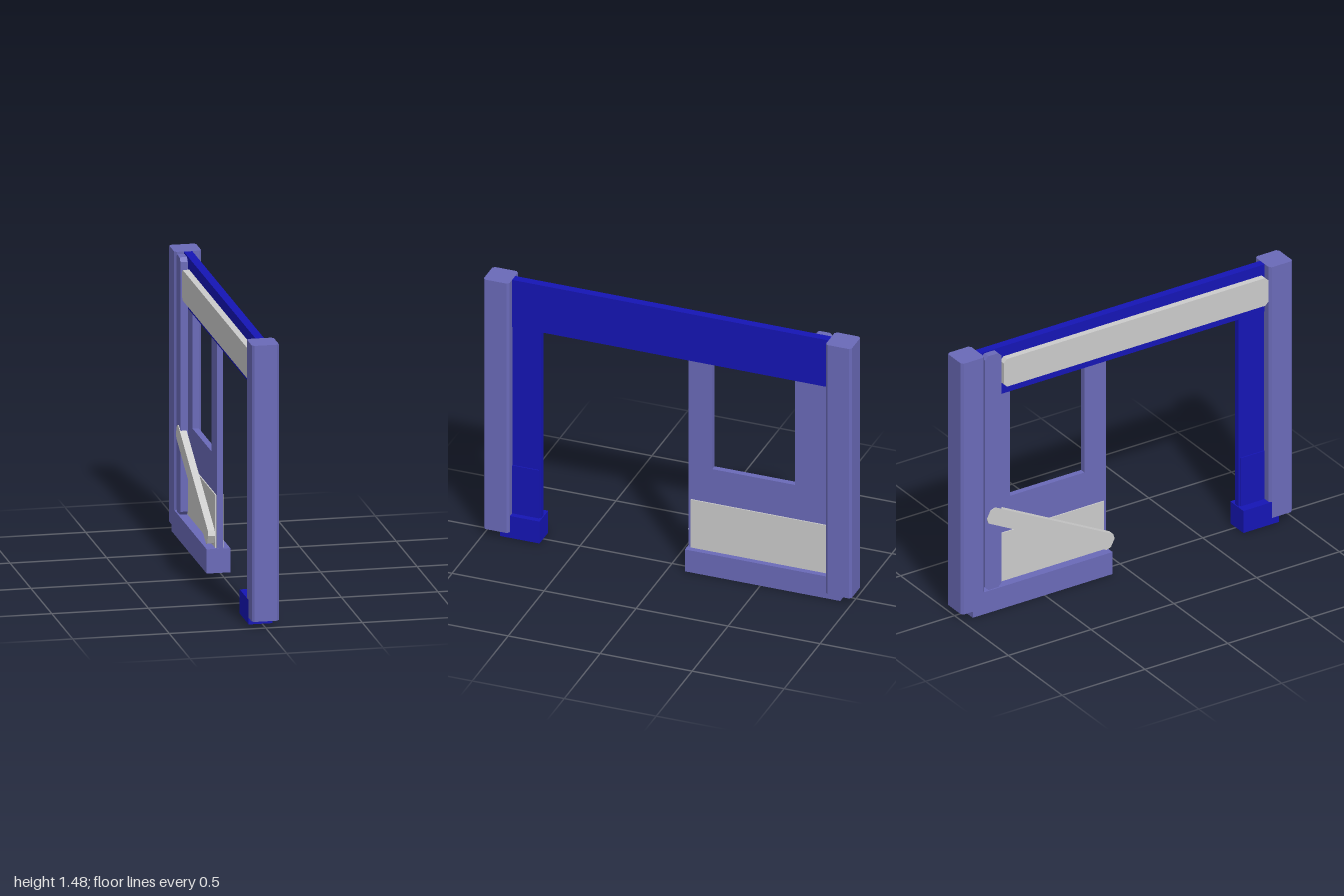
import * as THREE from 'three';

const BLUE = 0x1515b5, MIXED = 0x6a6ab8, GREY = 0xcccccc;

function material(color) {
  return new THREE.MeshStandardMaterial({ color, flatShading: true });
}

// Shape drawn in (-z, y), given thickness from x0 to x1
function slab(name, shape, x0, x1, color) {
  const geo = new THREE.ExtrudeGeometry(shape, { depth: x1 - x0, bevelEnabled: false });
  geo.translate(0, 0, x0);
  geo.rotateY(Math.PI / 2);
  const mesh = new THREE.Mesh(geo, material(color));
  mesh.name = name;
  return mesh;
}

// Polygon from [z, y] points
function outline(points) {
  return new THREE.Shape(points.map(([z, y]) => new THREE.Vector2(-z, y)));
}

// Box between two corners
function block(name, [x0, x1], [y0, y1], [z0, z1], color) {
  const mesh = new THREE.Mesh(new THREE.BoxGeometry(x1 - x0, y1 - y0, z1 - z0), material(color));
  mesh.position.set((x0 + x1) / 2, (y0 + y1) / 2, (z0 + z1) / 2);
  mesh.name = name;
  return mesh;
}

// Square post with chamfered vertical edges
function post(name, z, color) {
  const h = 0.07, c = 0.012, k = h - c;
  const shape = new THREE.Shape([[h, -k], [h, k], [k, h], [-k, h], [-h, k], [-h, -k], [-k, -h], [k, -h]]
    .map(([x, y]) => new THREE.Vector2(x, y)));
  const geo = new THREE.ExtrudeGeometry(shape, { depth: 1.448, bevelEnabled: false });
  geo.rotateX(-Math.PI / 2);
  geo.translate(0, 0.035, z);
  const mesh = new THREE.Mesh(geo, material(color));
  mesh.name = name;
  return mesh;
}

// Loose board with clipped corners, centred on its own origin
function board(name, length, width, [x0, x1], y, z, angle, color) {
  const l = length / 2, w = width / 2, c = 0.02;
  const shape = outline([[-l, -w + c], [-l, w - c], [-l + c, w], [l - c, w],
    [l, w - c], [l, -w + c], [l - c, -w], [-l + c, -w]]);
  const mesh = slab(name, shape, x0, x1, color);
  mesh.position.set(0, y, z);
  mesh.rotation.x = angle;
  return mesh;
}

export function createModel() {
  const group = new THREE.Group();
  group.name = 'doorAndWindowWall';

  // Corner posts and top beam
  group.add(post('frontPost', 0.93, MIXED), post('backPost', -0.93, MIXED));
  group.add(block('topBeam', [-0.022, 0.022], [1.21, 1.482], [-0.87, 0.87], BLUE));

  // Foundation sills either side of the doorway
  group.add(block('frontSill', [-0.07, 0.052], [0, 0.127], [0.7, 0.915], BLUE));
  group.add(block('backSill', [-0.07, 0.052], [0, 0.127], [-0.935, -0.09], MIXED));

  // Wall beside the door, and the wall with the window opening
  group.add(block('frontWall', [-0.016, 0.016], [0.12, 1.22], [0.705, 0.87], BLUE));
  const wall = outline([[-0.095, 0.12], [-0.095, 1.22], [-0.87, 1.22], [-0.87, 0.12]]);
  wall.holes.push(outline([[-0.225, 0.602], [-0.675, 0.602], [-0.675, 1.212], [-0.225, 1.212]]));
  group.add(slab('windowWall', wall, -0.016, 0.016, MIXED));

  // Low panels above the sills
  group.add(block('frontLowPanel', [-0.022, 0.022], [0.12, 0.405], [0.715, 0.87], BLUE));
  group.add(block('backLowPanel', [-0.022, 0.022], [0.12, 0.405], [-0.87, -0.11], GREY));

  // Boards nailed on the inner side
  group.add(board('topBoard', 1.6, 0.16, [-0.058, -0.024], 1.345, 0.06, 0, GREY));
  group.add(board('uprightBoard', 1.35, 0.1, [-0.062, -0.024], 0.802, -0.805, Math.PI / 2, MIXED));
  group.add(board('diagonalBoard', 0.84, 0.09, [-0.066, -0.03], 0.37, -0.46, Math.atan2(0.37, 0.72), GREY));

  return group;
}
